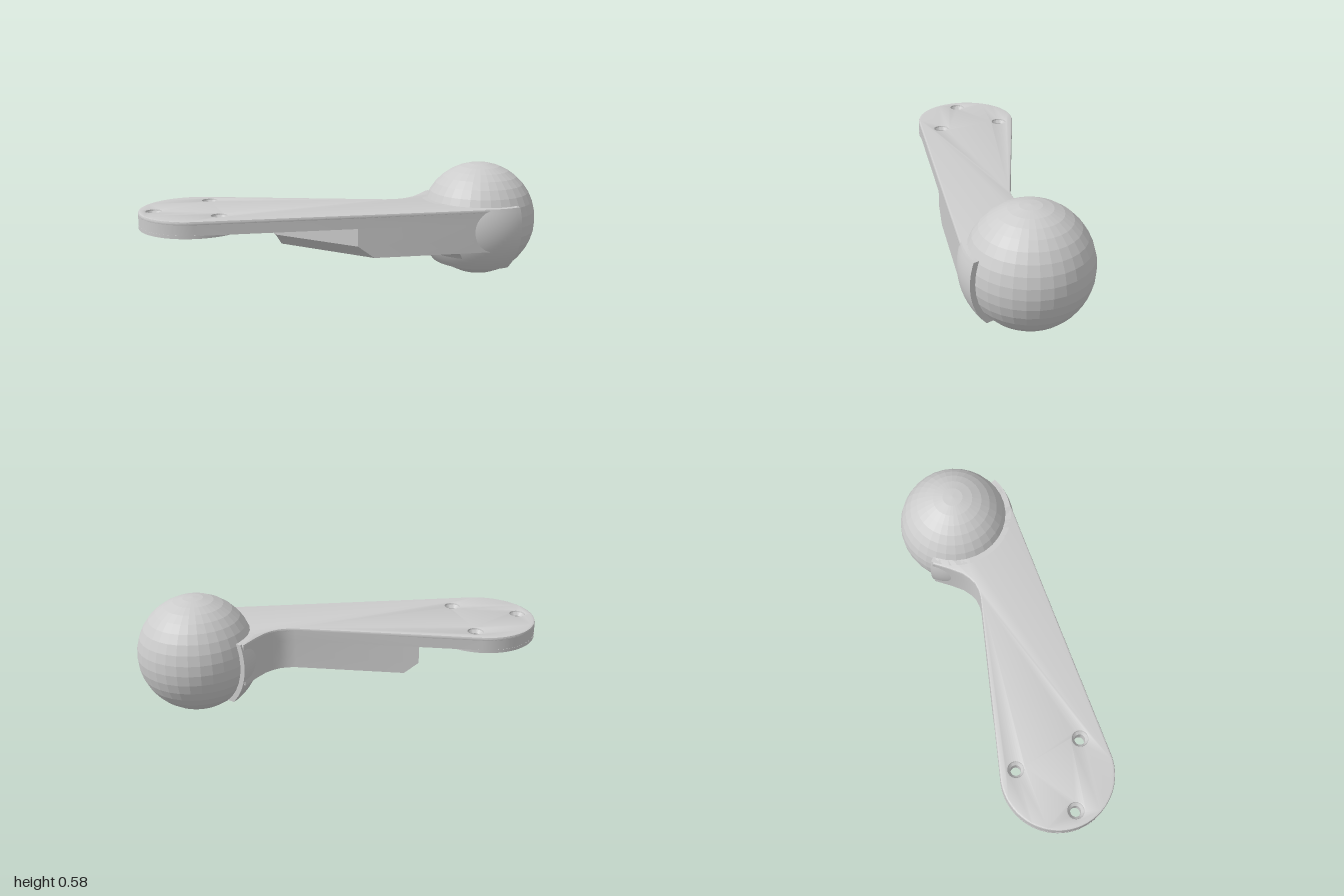
import * as THREE from 'three';
import { toCreasedNormals } from 'three/addons/utils/BufferGeometryUtils.js';

const material = new THREE.MeshStandardMaterial({ color: 0xcccccc, side: THREE.DoubleSide });
const DISC = { x: -0.73, z: 0.085, r: 0.27 };
const BALL = { x: 0.71, y: 0.29, z: -0.07, r: 0.29 };
const SCREW_ANGLES = [-72, 170, 49].map(THREE.MathUtils.degToRad);
const SCREWS = SCREW_ANGLES.map(a => [DISC.x + 0.195 * Math.cos(a), DISC.z + 0.195 * Math.sin(a)]);

// Curved neck on the back edge, and the arm end hidden in the ball (x, z)
const NECK = [[0.22, -0.05], [0.26, -0.051], [0.30, -0.06], [0.335, -0.08], [0.37, -0.11], [0.41, -0.165], [0.46, -0.245]];
const INNER_END = [[0.56, -0.2], [0.6, -0.1], [0.8, 0.1], [0.845, 0.192], [0.79, 0.212], [0.73, 0.2246]];

function addMesh(group, name, geometry, crease = 0.6) {
  const mesh = new THREE.Mesh(toCreasedNormals(geometry, crease), material);
  mesh.name = name;
  group.add(mesh);
  return mesh;
}

const vectors = pts => pts.map(([x, y]) => new THREE.Vector2(x, y));

// Extrudes an (x, z) shape downwards from yTop to yBottom
function slab(shape, yTop, yBottom, bevel = 0) {
  const geometry = new THREE.ExtrudeGeometry(shape, {
    depth: yTop - yBottom - 2 * bevel, curveSegments: 48, bevelEnabled: bevel > 0,
    bevelSize: bevel, bevelThickness: bevel, bevelOffset: -bevel, bevelSegments: 2,
  });
  return geometry.rotateX(Math.PI / 2).translate(0, yTop - bevel, 0);
}

function plateOutline() {
  const shape = new THREE.Shape();
  shape.absarc(DISC.x, DISC.z, DISC.r - 0.001, -1.43, 1.483 - 2 * Math.PI, true);
  [...INNER_END.slice().reverse(), ...NECK.slice().reverse()].forEach(([x, z]) => shape.lineTo(x, z));
  shape.closePath();
  return shape;
}

function addScrewHoles(shape, radius) {
  SCREWS.forEach(([x, z]) => shape.holes.push(new THREE.Path().absarc(x, z, radius, 0, Math.PI * 2, false)));
  return shape;
}

// Round pocket that narrows around the three screw bosses
function addPocket(shape) {
  const points = [];
  for (let i = 0; i < 96; i++) {
    const a = i / 96 * Math.PI * 2;
    const gap = Math.min(...SCREW_ANGLES.map(s => Math.acos(Math.cos(a - s))));
    const r = 0.14 + 0.085 * THREE.MathUtils.smoothstep(gap, 0.36, 0.5);
    points.push([DISC.x + r * Math.cos(a), DISC.z + r * Math.sin(a)]);
  }
  shape.holes.push(new THREE.Path(vectors(points)));
  return shape;
}

// Skins matching (x, z) polygons stacked by height and closes the bottom
function loft(sections) {
  const position = [], index = [], n = sections[0].points.length;
  sections.forEach(({ y, points }) => points.forEach(([x, z]) => position.push(x, y, z)));
  for (let s = 0; s < sections.length - 1; s++) {
    for (let i = 0; i < n; i++) {
      const a = s * n + i, b = s * n + (i + 1) % n;
      index.push(a, a + n, b, b, a + n, b + n);
    }
  }
  THREE.ShapeUtils.triangulateShape(vectors(sections[0].points), []).forEach(t => index.push(...t));
  const geometry = new THREE.BufferGeometry();
  geometry.setAttribute('position', new THREE.Float32BufferAttribute(position, 3));
  geometry.setIndex(index);
  geometry.computeVertexNormals();
  return geometry;
}

export function createModel() {
  const model = new THREE.Group();
  model.name = 'leverArm';

  // Ball knob
  const ball = new THREE.Mesh(
    new THREE.SphereGeometry(BALL.r, 32, 18),
    new THREE.MeshStandardMaterial({ color: 0xcccccc, flatShading: true }));
  ball.name = 'ballKnob';
  ball.position.set(BALL.x, BALL.y, BALL.z);
  model.add(ball);

  // Top plate, its hollow underside and the raised mounting ring
  addMesh(model, 'topPlate', slab(addScrewHoles(plateOutline(), 0.037), 0.4, 0.375, 0.008));
  addMesh(model, 'lowerPlate', slab(addPocket(addScrewHoles(plateOutline(), 0.042)), 0.392, 0.332));
  const ring = new THREE.Shape().absarc(DISC.x, DISC.z, DISC.r, 0, Math.PI * 2, false);
  addMesh(model, 'mountingRing', slab(addPocket(addScrewHoles(ring, 0.025)), 0.334, 0.318));

  // Countersunk screw sleeves
  const sleeve = vectors([[0.025, 0.319], [0.025, 0.376], [0.04, 0.395]]);
  SCREWS.forEach(([x, z]) => {
    addMesh(model, 'screwSleeve', new THREE.LatheGeometry(sleeve, 32)).position.set(x, 0, z);
  });

  // Deep arm body with a diagonal front cut, chamfered towards its underside
  const tail = [...NECK, ...INNER_END];
  const upper = [[0.05, 0.285], [-0.34, 0.03], [-0.39, -0.137], ...tail];
  const lower = [[0.13, 0.278], [-0.31, -0.015], [-0.32, -0.127], ...tail];
  addMesh(model, 'armBody', loft([
    { y: 0.185, points: lower }, { y: 0.245, points: upper }, { y: 0.336, points: upper },
  ]));

  // Cup wrapped around the ball, with closed ends
  const socket = new THREE.Group();
  socket.name = 'ballSocket';
  socket.position.set(BALL.x, 0, BALL.z);
  model.add(socket);
  const arc = (radius) => Array.from({ length: 17 }, (_, i) => {
    const y = 0.075 + 0.325 * i / 16;
    return [Math.sqrt(radius ** 2 - (y - BALL.y) ** 2), y];
  });
  const outer = arc(0.315), inner = arc(0.28);
  const start = THREE.MathUtils.degToRad(-127), sweep = THREE.MathUtils.degToRad(157);
  addMesh(socket, 'socketWall', new THREE.LatheGeometry(
    vectors([inner[0], ...outer, inner[16]]), 40, start, sweep));
  [start, start + sweep].forEach(phi => {
    const cap = new THREE.ShapeGeometry(new THREE.Shape(vectors([...outer, ...inner.slice().reverse()])));
    addMesh(socket, 'socketEnd', cap.rotateY(phi - Math.PI / 2));
  });

  // Curved web blending the arm underside into the cup
  const web = vectors([[0.225, 0.078], [0.25, 0.108], [0.28, 0.143], [0.31, 0.17], [0.35, 0.187]]);
  addMesh(socket, 'socketWeb', new THREE.LatheGeometry(
    web, 24, THREE.MathUtils.degToRad(-95), THREE.MathUtils.degToRad(67)));

  return model;
}
